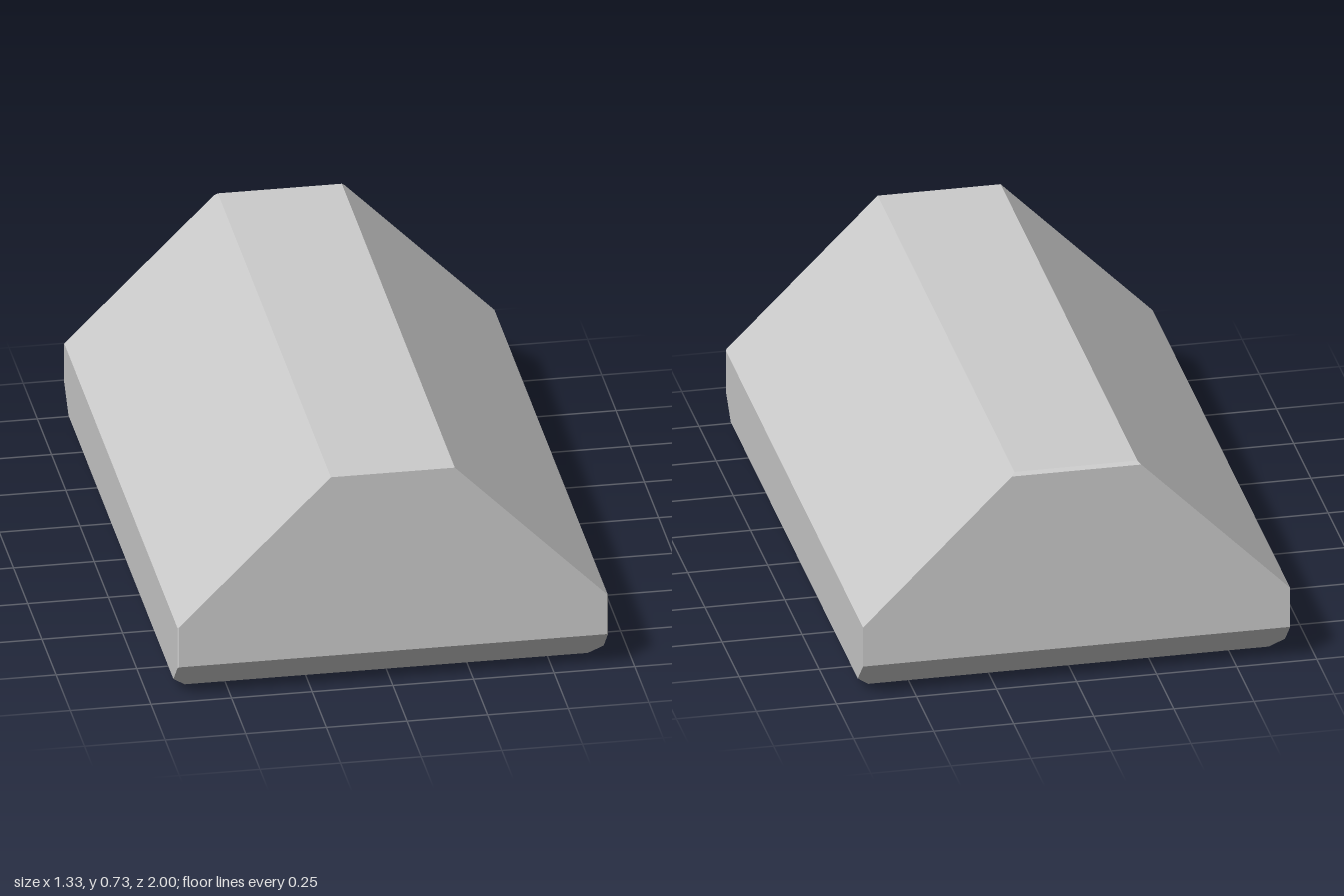
import * as THREE from 'three';
import { ConvexGeometry } from 'three/addons/geometries/ConvexGeometry.js';

export function createModel() {
  const group = new THREE.Group();
  group.name = 'bevelledBlock';

  // Corners of the left half, mirrored across x = 0
  const corners = [
    // front end: ridge, shoulder and lower edge, with a fine bevel on the upright corner
    [0.192, 0.725, 1], [0.663, 0.254, 1], [0.667, 0.25, 0.996],
    [0.663, 0.118, 1], [0.667, 0.114, 0.996],
    // back end: fine bevel along the ridge edge
    [0.192, 0.725, -0.99], [0.202, 0.715, -1], [0.667, 0.25, -1], [0.667, 0.118, -1],
    // base bevels
    [0.667, 0.042, 0.924], [0.667, 0.042, -0.924],
    [0.625, 0, 0.882], [0.625, 0, -0.882],
  ];
  const points = [];
  for (const side of [1, -1]) {
    for (const [x, y, z] of corners) points.push(new THREE.Vector3(side * x, y, z));
  }

  const body = new THREE.Mesh(
    new ConvexGeometry(points),
    new THREE.MeshStandardMaterial({ color: 0xcccccc, flatShading: true })
  );
  body.name = 'body';
  group.add(body);
  return group;
}
